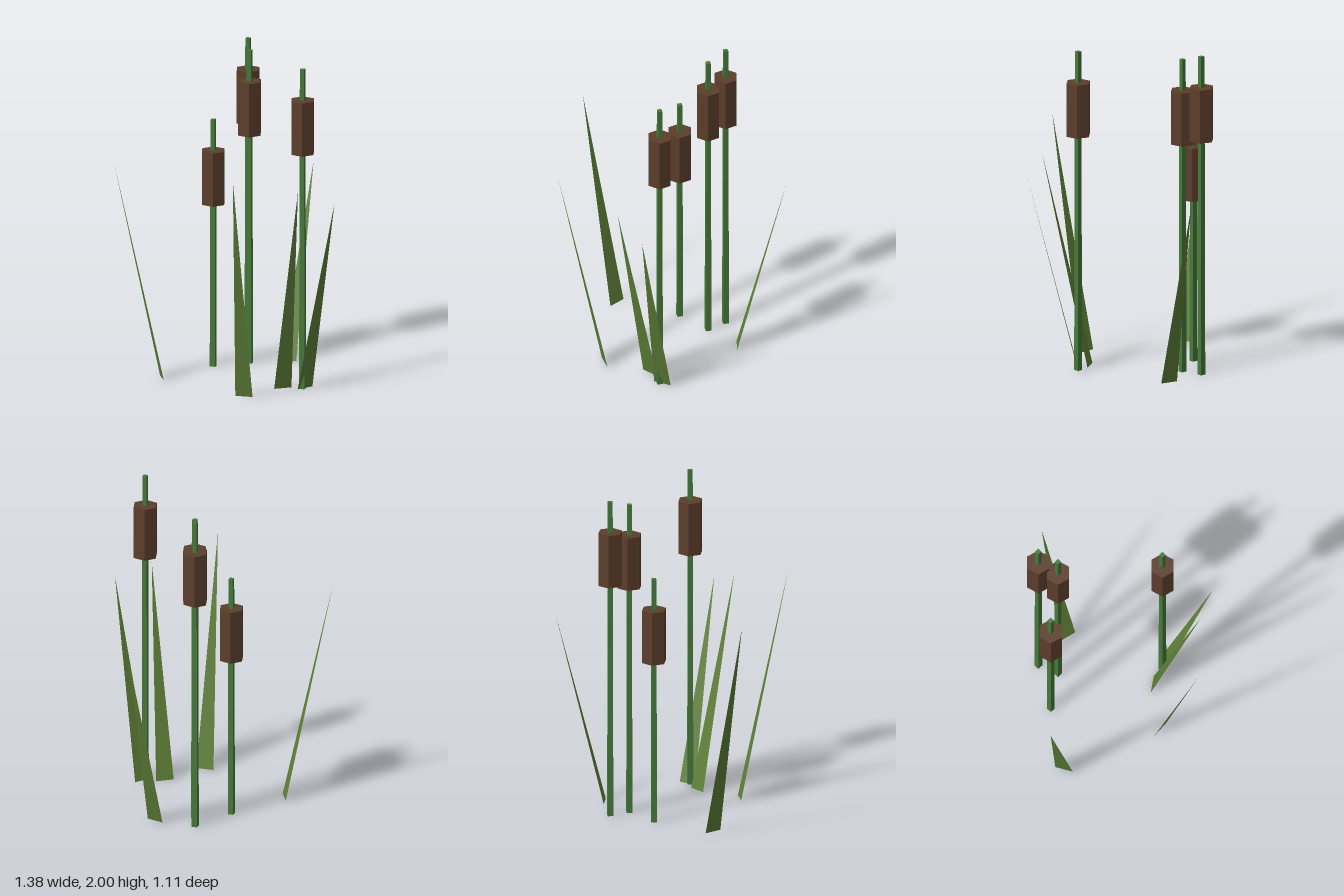
import * as THREE from 'three';

const flat = (color, side = THREE.FrontSide) =>
  new THREE.MeshStandardMaterial({ color, side, flatShading: true });

export function createModel() {
  const group = new THREE.Group();
  group.name = 'cattails';
  const stemMaterial = flat(0x477a3a);
  const headMaterial = flat(0x5c3e2b);
  const leafMaterial = flat(0x5f8038, THREE.DoubleSide);

  const add = (parent, name, geometry, material) => {
    const mesh = new THREE.Mesh(geometry, material);
    mesh.name = name;
    parent.add(mesh);
    return mesh;
  };

  // Cattails: four-sided stem with a six-sided seed head: [x, z, height]
  const headGeometry = new THREE.CylinderGeometry(0.077, 0.077, 0.333, 6).rotateY(Math.PI / 6);
  const cattails = [
    [-0.02, -0.42, 1.545],
    [0.203, -0.375, 1.96],
    [0.256, -0.493, 1.997],
    [0.23, 0.252, 2.0],
  ];
  for (const [x, z, height] of cattails) {
    const cattail = new THREE.Group();
    cattail.name = 'cattail';
    cattail.position.set(x, 0, z);
    const stem = new THREE.CylinderGeometry(0.019, 0.024, height, 4).translate(0, height / 2, 0);
    add(cattail, 'stem', stem, stemMaterial);
    add(cattail, 'seedHead', headGeometry, headMaterial).position.y = height - 0.36;
    group.add(cattail);
  }

  // Leaves: flat blades from a base edge to a point: [base x, z], [base x, z], [tip x, y, z]
  const leaves = [
    [[-0.425, -0.29], [-0.395, -0.395], [-0.695, 1.375, -0.425]],
    [[0.41, -0.36], [0.465, -0.27], [0.69, 1.175, -0.47]],
    [[-0.2, 0.2], [-0.12, 0.27], [-0.355, 1.43, 0.46]],
    [[0.075, 0.18], [0.182, 0.2], [0.075, 1.31, 0.483]],
    [[0.195, 0.255], [0.302, 0.242], [0.285, 1.225, 0.555]],
  ];
  for (const [a, b, tip] of leaves) {
    const blade = new THREE.BufferGeometry();
    blade.setAttribute('position', new THREE.Float32BufferAttribute(
      [a[0], 0, a[1], b[0], 0, b[1], ...tip], 3));
    blade.computeVertexNormals();
    add(group, 'leaf', blade, leafMaterial);
  }
  return group;
}
